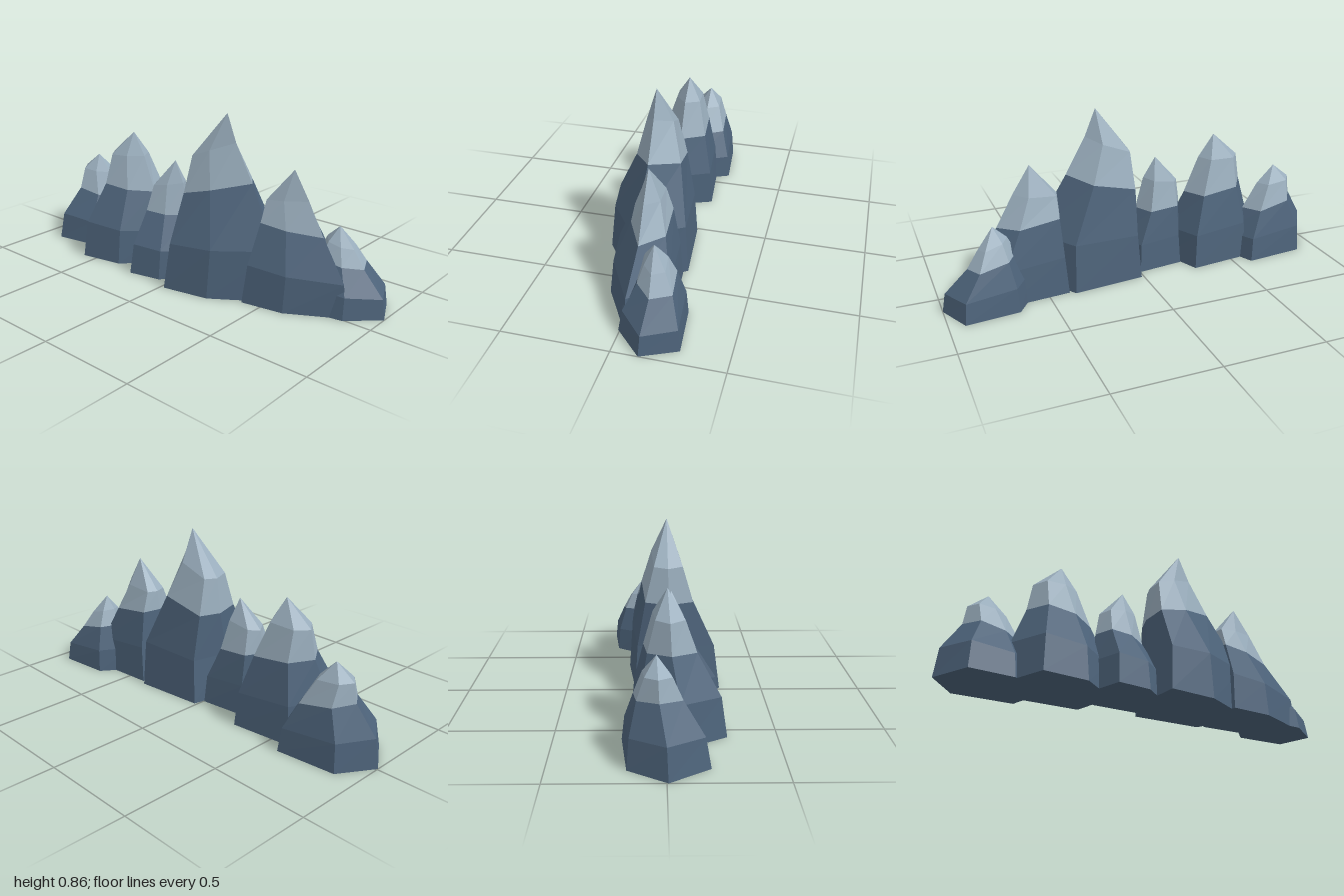
import * as THREE from 'three';

const rock = new THREE.MeshStandardMaterial({ name: 'slateRock', color: 0x4d637a, flatShading: true });
const snow = new THREE.MeshStandardMaterial({ name: 'paleSnow', color: 0x9aaebd, flatShading: true });

const { lerp } = THREE.MathUtils;

// Shared six-sided outline in a unit box: west, north-west, north-east, east, south-east, south-west
const OUTLINE = [[0, 0.53], [0.22, 0.08], [0.82, 0], [1, 0.5], [0.67, 0.9], [0.24, 1]];

// Per peak: foot [xMin, xMax, zMin, zMax], skew of the outline towards the west,
// snowLine and crown [xMin, xMax, yLeft, yRight], tip [x, y, z]
const PEAKS = {
  westFoothill: {
    foot: [-1, -0.5, -0.195, 0.185], skew: 1,
    snowLine: [-0.89, -0.61, 0.29, 0.24], crown: [-0.875, -0.69, 0.385, 0.37], tip: [-0.78, 0.46, -0.04],
  },
  westPeak: {
    foot: [-0.7, -0.19, -0.16, 0.275], skew: 1,
    snowLine: [-0.61, -0.29, 0.39, 0.36], crown: [-0.585, -0.365, 0.53, 0.54], tip: [-0.445, 0.655, 0.01],
  },
  middleHill: {
    foot: [-0.31, 0.07, -0.095, 0.27], skew: 1.1,
    snowLine: [-0.275, -0.03, 0.31, 0.3], crown: [-0.255, -0.07, 0.425, 0.46], tip: [-0.13, 0.565, 0.03],
  },
  summitPeak: {
    foot: [-0.03, 0.53, -0.185, 0.285], skew: 1.7,
    snowLine: [0, 0.345, 0.45, 0.54], crown: [0.02, 0.245, 0.63, 0.72], tip: [0.19, 0.855, 0.015],
  },
  eastPeak: {
    foot: [0.36, 0.86, -0.195, 0.16], skew: 1.7,
    snowLine: [0.4, 0.71, 0.38, 0.345], crown: [0.41, 0.625, 0.48, 0.5], tip: [0.54, 0.635, -0.045],
  },
  eastFoothill: {
    foot: [0.56, 1, -0.285, 0.04], skew: 0.95,
    snowLine: [0.64, 0.875, 0.25, 0.205], crown: [0.68, 0.82, 0.33, 0.29], tip: [0.745, 0.39, -0.125],
  },
};

// Faceted band between two rings
function band(low, high) {
  return low.flatMap((p, i) => {
    const j = (i + 1) % low.length;
    return [low[j], p, high[i], low[j], high[i], high[j]];
  });
}

// Fan from a ring up to a tip
function fan(points, tip) {
  return points.flatMap((p, i) => [points[(i + 1) % points.length], p, tip]);
}

function facets(name, corners, material) {
  const geometry = new THREE.BufferGeometry();
  geometry.setAttribute('position', new THREE.Float32BufferAttribute(corners.flat(), 3));
  geometry.computeVertexNormals();
  const mesh = new THREE.Mesh(geometry, material);
  mesh.name = name;
  return mesh;
}

function createPeak(name, { foot, skew, snowLine, crown, tip }) {
  const [x0, x1, z0, z1] = foot;
  const [, , snowLeft, snowRight] = snowLine;

  // Outline fitted into a box and tilted from left to right
  const ring = ([xMin, xMax, yLeft, yRight], zMin, zMax) => OUTLINE.map(([a, v]) => {
    const u = a ** skew;
    return [lerp(xMin, xMax, u), lerp(yLeft, yRight, u), lerp(zMin, zMax, v)];
  });

  // Depth narrows towards the tip
  const back = lerp(tip[2], z0, 0.65);
  const front = lerp(tip[2], z1, 0.49);
  const inset = 0.035;
  const base = ring([x0, x1, 0, 0], z0, z1);
  const shoulder = ring(
    [lerp(x0, x1, inset), lerp(x1, x0, inset), snowLeft * 0.5, snowRight * 0.46],
    lerp(z0, z1, inset), lerp(z1, z0, inset * 1.8),
  );
  const line = ring(snowLine, back, front);
  const top = ring(crown, lerp(tip[2], back, 0.6), lerp(tip[2], front, 0.6));

  // Rocky flanks with a closed underside, then the snow cap
  const underside = fan([...base].reverse(), [(x0 + x1) / 2, 0, (z0 + z1) / 2]);
  const peak = new THREE.Group();
  peak.name = name;
  peak.add(
    facets('rockFlank', [...underside, ...band(base, shoulder), ...band(shoulder, line)], rock),
    facets('snowCap', [...band(line, top), ...fan(top, tip)], snow),
  );
  return peak;
}

export function createModel() {
  const range = new THREE.Group();
  range.name = 'mountainRange';
  for (const [name, spec] of Object.entries(PEAKS)) range.add(createPeak(name, spec));
  return range;
}
